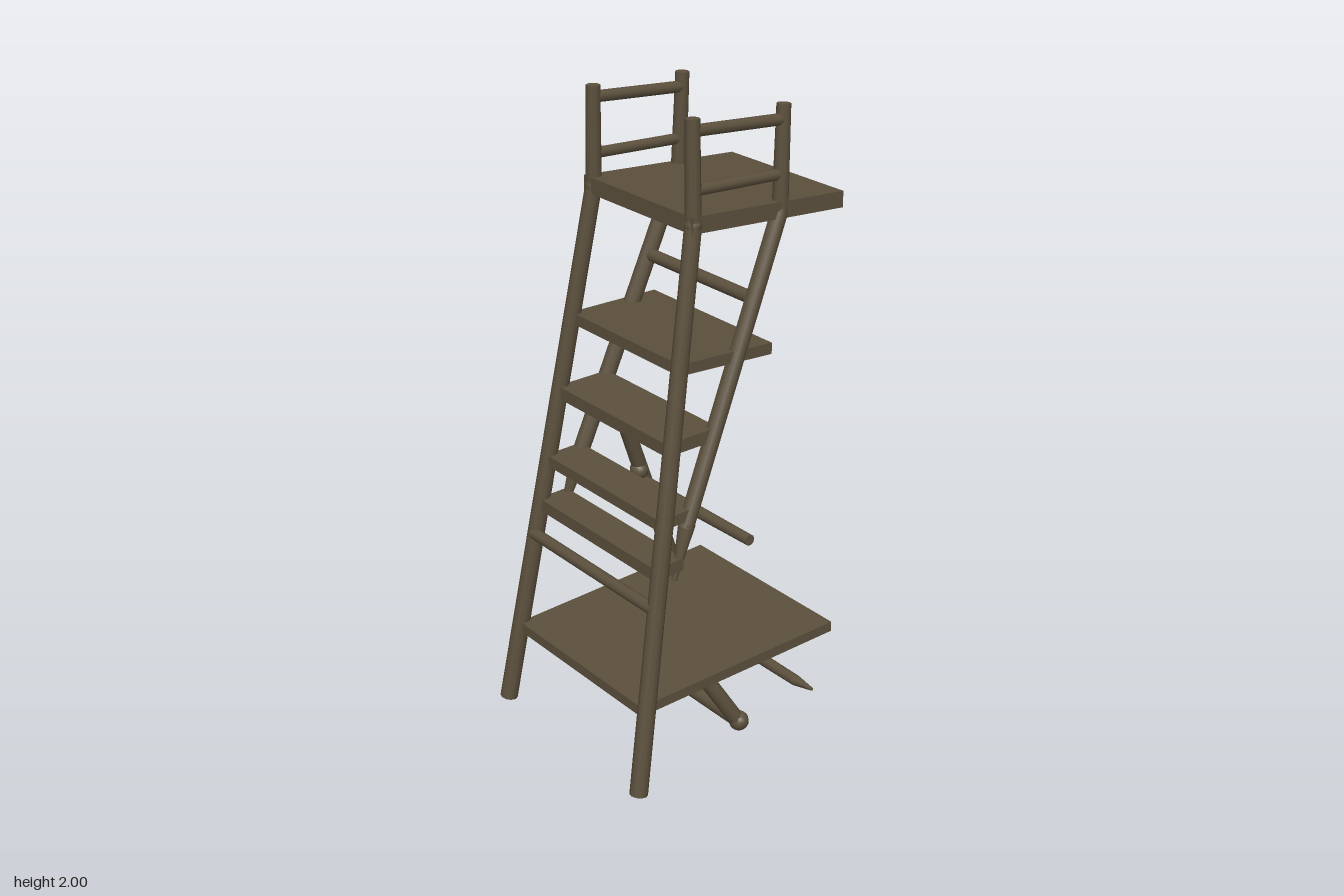
import * as THREE from 'three';

export function createModel() {
  const model = new THREE.Group();
  const wood = new THREE.MeshStandardMaterial({ color: 0x5c503d });
  wood.name = 'dark weathered wood';
  const UP = new THREE.Vector3(0, 1, 0);

  function add(name, geometry) {
    const mesh = new THREE.Mesh(geometry, wood);
    mesh.name = name;
    model.add(mesh);
    return mesh;
  }

  // round pole between two points, tapering from r0 to r1
  function pole(name, a, b, r0, r1 = r0) {
    const p = new THREE.Vector3(...a), q = new THREE.Vector3(...b);
    const dir = q.clone().sub(p);
    const mesh = add(name, new THREE.CylinderGeometry(r1, r0, dir.length(), 10));
    mesh.position.copy(p).add(q).multiplyScalar(0.5);
    mesh.quaternion.setFromUnitVectors(UP, dir.normalize());
  }

  function knot(name, p, r) {
    add(name, new THREE.SphereGeometry(r, 10, 7)).position.set(...p);
  }

  // board whose front edge is [y, z, x0, x1] and back edge likewise; y is the top
  function board(name, front, back, thick) {
    const g = new THREE.BoxGeometry(1, 1, 1).toNonIndexed();
    const pos = g.attributes.position;
    for (let i = 0; i < pos.count; i++) {
      const [y, z, x0, x1] = pos.getZ(i) > 0 ? front : back;
      pos.setXYZ(i, pos.getX(i) > 0 ? x1 : x0, pos.getY(i) > 0 ? y : y - thick, z);
    }
    g.computeVertexNormals();
    add(name, g);
  }

  // position along the leaning front legs
  const legX = y => 0.35 - 0.115 * y / 1.7;
  const legZ = y => 0.40 - 0.29 * y / 1.7;

  // parts that exist on both sides
  for (const s of [-1, 1]) {
    pole('frontLeg', [s * legX(0.01), 0.01, legZ(0.01)], [s * 0.235, 1.7, 0.11], 0.028, 0.025);
    knot('frontLegBend', [s * 0.235, 1.7, 0.11], 0.027);
    pole('frontPost', [s * 0.235, 1.7, 0.11], [s * 0.23, 2.0, 0.11], 0.024, 0.021);
    pole('rearPost', [s * 0.235, 1.68, -0.205], [s * 0.23, 1.99, -0.215], 0.024, 0.021);
    knot('postJoint', [s * 0.235, 1.68, -0.2], 0.025);
    pole('topRail', [s * 0.23, 1.965, 0.11], [s * 0.23, 1.945, -0.21], 0.018);
    pole('middleRail', [s * 0.233, 1.797, 0.11], [s * 0.233, 1.787, -0.21], 0.017);
    pole('brace', [s * 0.24, 1.68, -0.2], [s * 0.275, 0.8, 0.165], 0.026);
    pole('braceTip', [s * 0.275, 0.81, 0.16], [s * 0.285, 0.645, 0.215], 0.026, 0.008);
    pole('underStrut', [s * 0.235, 0.265, 0.08], [s * 0.285, 0.06, -0.04], 0.025);
    knot('strutFoot', [s * 0.285, 0.065, -0.04], 0.032);
  }

  // single surviving rear leg with its knots
  pole('rearLeg', [-0.285, 1.07, 0.035], [-0.35, 0.015, -0.365], 0.024, 0.028);
  knot('rearLegKnot', [-0.305, 0.69, -0.1], 0.032);
  knot('rearLegKnot', [-0.335, 0.08, -0.33], 0.035);

  // rear and lower cross bars
  pole('rearCrossBar', [-0.31, 0.65, -0.11], [0.24, 0.655, -0.11], 0.022, 0.018);
  pole('lowRearBar', [-0.34, 0.07, -0.33], [0.22, 0.07, -0.33], 0.022, 0.018);
  pole('lowRearBarTip', [0.22, 0.07, -0.33], [0.3, 0.075, -0.33], 0.018, 0.005);
  knot('lowRearBarKnot', [-0.02, 0.075, -0.33], 0.03);
  pole('lowMiddleBar', [-0.3, 0.065, -0.04], [0.3, 0.065, -0.04], 0.024);
  pole('braceRung', [-0.25, 1.44, -0.1], [0.25, 1.44, -0.1], 0.02);
  pole('platformCrossBeam', [-0.24, 1.665, -0.2], [0.24, 1.665, -0.2], 0.018);
  pole('frontRung', [-legX(0.59), 0.59, 0.31], [legX(0.59), 0.59, 0.31], 0.019);

  // steps between the front legs: top height and back depth
  for (const [y, zBack, thick] of [[0.71, 0.19, 0.04], [0.855, 0.14, 0.035], [1.08, 0.045, 0.04]]) {
    const x = legX(y) - 0.005;
    board('step', [y, legZ(y) + 0.015, -x, x], [y + 0.005, zBack, -x, x], thick);
  }

  // shelf, lower platform and top platform
  board('shelf', [1.31, 0.18, -0.265, 0.265], [1.295, -0.16, -0.3, 0.265], 0.035);
  board('lowerPlatform', [0.285, 0.365, -0.32, 0.32], [0.32, -0.375, -0.33, 0.33], 0.033);
  board('topPlatform', [1.73, 0.13, -0.255, 0.255], [1.7, -0.43, -0.255, 0.255], 0.05);

  return model;
}
